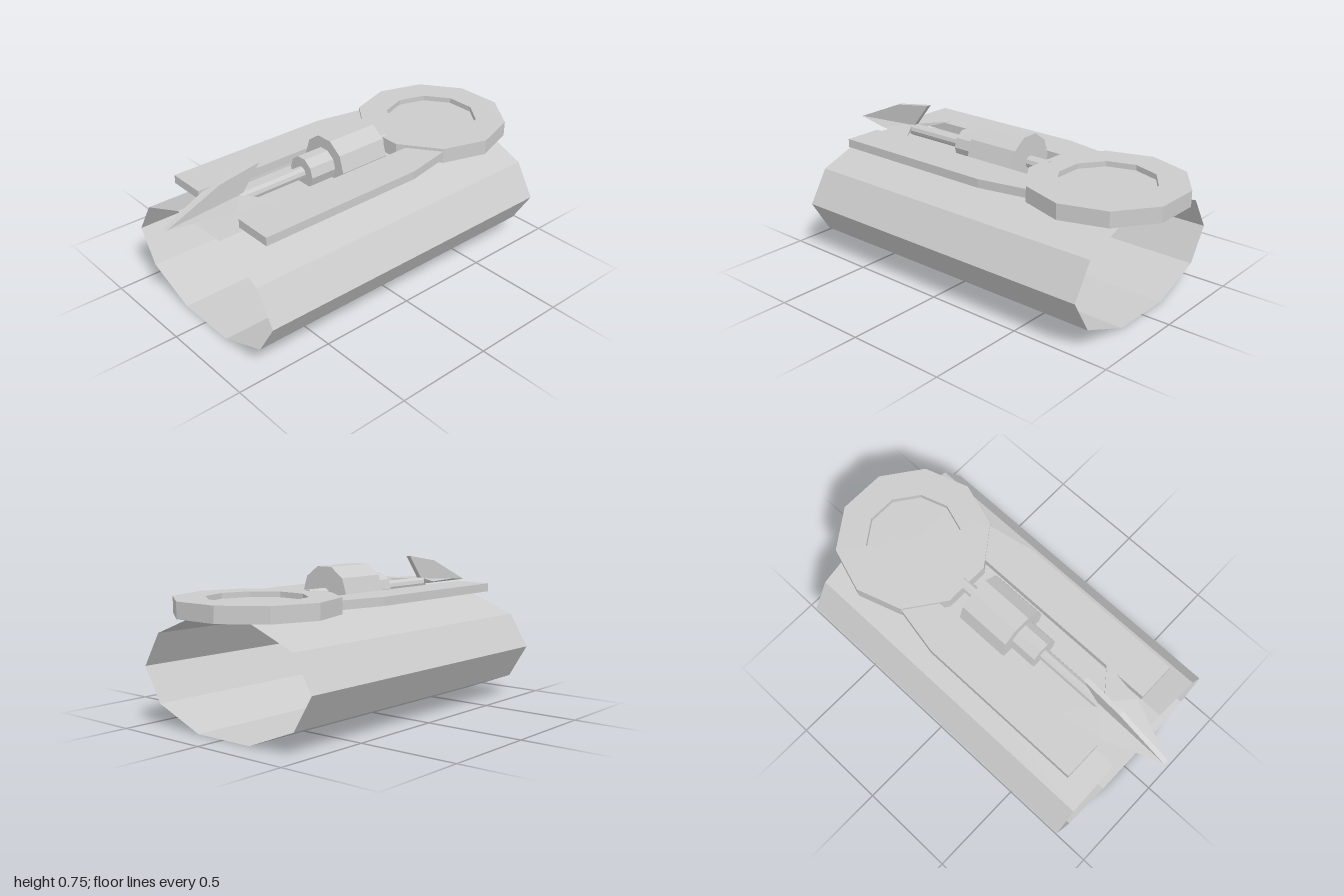
import * as THREE from 'three';

const SIDES = 10;
const AXIS_Y = 0.594;

export function createModel() {
  const group = new THREE.Group();
  const solid = new THREE.MeshStandardMaterial({ color: 0xcccccc, flatShading: true });
  const thin = new THREE.MeshStandardMaterial({ color: 0xcccccc, flatShading: true, side: THREE.DoubleSide });

  const add = (name, geometry, material = solid) => {
    const mesh = new THREE.Mesh(geometry, material);
    mesh.name = name;
    group.add(mesh);
    return mesh;
  };

  // Ten-sided prism along z, flat on top, from zBack to zFront
  const prism = (radius, zBack, zFront, y, open = false) =>
    new THREE.CylinderGeometry(radius, radius, zFront - zBack, SIDES, 1, open, Math.PI / 2)
      .rotateX(Math.PI / 2)
      .translate(0, y, (zFront + zBack) / 2);

  // Hull: open-ended, flattened tube
  add('hull', prism(1, -0.853, 0.833, 0, true).scale(0.533, 0.284, 1).translate(0, 0.27, 0), thin);

  // Rear disc with a shallow recess
  const discProfile = [
    [0, 0.542], [0.385, 0.542], [0.385, 0.619], [0.235, 0.619], [0.235, 0.592], [0, 0.592],
  ].map(([r, y]) => new THREE.Vector2(r, y));
  add('rearDisc', new THREE.LatheGeometry(discProfile, SIDES, Math.PI / 2).translate(0, 0, -0.634));

  // Stepped shaft between the arms
  add('shaft', prism(0.031, -0.3, 0.61, AXIS_Y));
  add('largeDrum', prism(0.14, -0.18, 0.097, AXIS_Y));
  add('smallDrum', prism(0.081, 0.09, 0.238, AXIS_Y));

  // Spearhead: upright fin
  const finShape = new THREE.Shape(
    [[1, 0.588], [0.71, 0.71], [0.49, 0.745], [0.59, 0.62], [0.6, 0.59]].map(([z, y]) => new THREE.Vector2(z, y))
  );
  add('spearFin', new THREE.ExtrudeGeometry(finShape, { depth: 0.025, bevelEnabled: false })
    .rotateY(-Math.PI / 2)
    .translate(0.0125, 0, 0));

  for (const s of [1, -1]) {
    const side = s > 0 ? 'left' : 'right';

    // Flat arm reaching forward from the disc
    const armShape = new THREE.Shape(
      [[0.158, 0.72], [0.357, 0.72], [0.357, -0.16], [0.31, -0.405], [0.158, -0.405]]
        .map(([x, z]) => new THREE.Vector2(s * x, z))
    );
    add(side + 'Arm', new THREE.ExtrudeGeometry(armShape, { depth: 0.043, bevelEnabled: false })
      .rotateX(Math.PI / 2)
      .translate(0, 0.604, 0));

    // Spearhead: swept side wing, wedge-shaped towards the shaft
    const wing = new THREE.BufferGeometry();
    wing.setAttribute('position', new THREE.Float32BufferAttribute([
      s * 0.012, 0.59, 1,
      s * 0.13, 0.616, 0.71,
      s * 0.165, 0.618, 0.49,
      s * 0.012, 0.618, 0.61,
      s * 0.012, 0.589, 0.61,
    ], 3));
    const faces = [0, 1, 3, 1, 2, 3, 0, 4, 1, 1, 4, 2, 2, 4, 3];
    wing.setIndex(s > 0 ? faces : faces.reverse());
    wing.computeVertexNormals();
    add(side + 'SpearWing', wing, thin);
  }

  return group;
}
